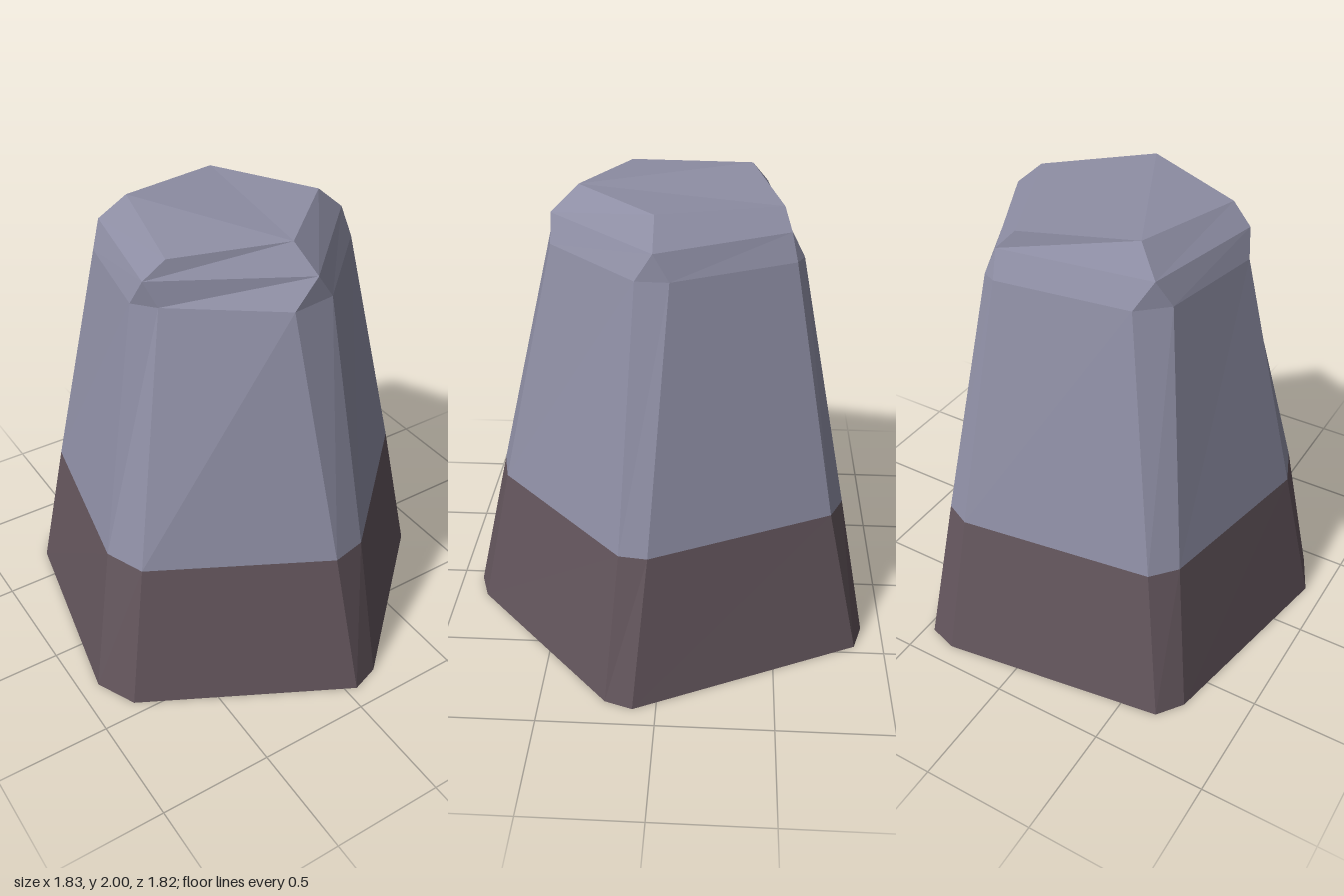
import * as THREE from 'three';

// Ten-point rings [x, z], two points per rounded corner, from the front corner towards +x
const ring = (y, pts) => pts.map(([x, z]) => [x, y, z]);
const foot = ring(0, [[0.05, 0.905], [0.18, 0.86], [0.87, 0.22], [0.91, 0.1], [0.46, -0.87],
  [0.33, -0.91], [-0.66, -0.77], [-0.74, -0.66], [-0.915, 0.26], [-0.83, 0.44]]);
const band = ring(0.675, [[0.01, 0.755], [0.165, 0.72], [0.75, 0.16], [0.765, 0.04], [0.405, -0.725],
  [0.29, -0.78], [-0.55, -0.665], [-0.64, -0.56], [-0.785, 0.195], [-0.715, 0.37]]);
const shoulder = ring(1.78, [[-0.065, 0.5], [0.13, 0.475], [0.505, 0.1], [0.51, -0.035], [0.275, -0.53],
  [0.215, -0.56], [-0.36, -0.485], [-0.475, -0.375], [-0.56, 0.1], [-0.485, 0.19]]);

// Five-point rings of the bevelled top
const bevel = ring(1.89, [[0.055, 0.48], [0.5, 0.03], [0.235, -0.505], [-0.42, -0.42], [-0.53, 0.155]]);
const rim = [[0.015, 2, 0.365], [0.375, 2, 0.03], [0.16, 1.97, -0.475], [-0.32, 2, -0.35], [-0.44, 1.97, 0.18]];

// Faces joining two rings with the same number of points
const wall = (lower, upper) => lower.map((p, i) => {
  const j = (i + 1) % lower.length;
  return [p, lower[j], upper[j], upper[i]];
});

// Mesh from convex faces, each split into a fan of triangles
function facetMesh(name, faces, material) {
  const pos = [];
  for (const f of faces) {
    for (let i = 1; i < f.length - 1; i++) pos.push(...f[0], ...f[i], ...f[i + 1]);
  }
  const geo = new THREE.BufferGeometry();
  geo.setAttribute('position', new THREE.Float32BufferAttribute(pos, 3));
  geo.computeVertexNormals();
  const mesh = new THREE.Mesh(geo, material);
  mesh.name = name;
  return mesh;
}

export function createModel() {
  const opts = { flatShading: true, side: THREE.DoubleSide };
  const stone = new THREE.MeshStandardMaterial({ color: 0x8e8ea4, ...opts });
  stone.name = 'blue grey stone';
  const earth = new THREE.MeshStandardMaterial({ color: 0x63555c, ...opts });
  earth.name = 'dark brown stone';

  // Bevel: a triangle on each corner, a quad on each side
  const chamfer = [];
  bevel.forEach((m, k) => {
    const a = shoulder[2 * k], b = shoulder[2 * k + 1], c = shoulder[(2 * k + 2) % 10];
    chamfer.push([a, b, m], [b, c, bevel[(k + 1) % 5], m]);
  });

  const group = new THREE.Group();
  group.name = 'rockPillar';
  group.add(
    facetMesh('base', wall(foot, band), earth),
    facetMesh('body', wall(band, shoulder), stone),
    facetMesh('bevel', [...chamfer, ...wall(bevel, rim)], stone),
    facetMesh('top', [rim], stone),
  );
  return group;
}
